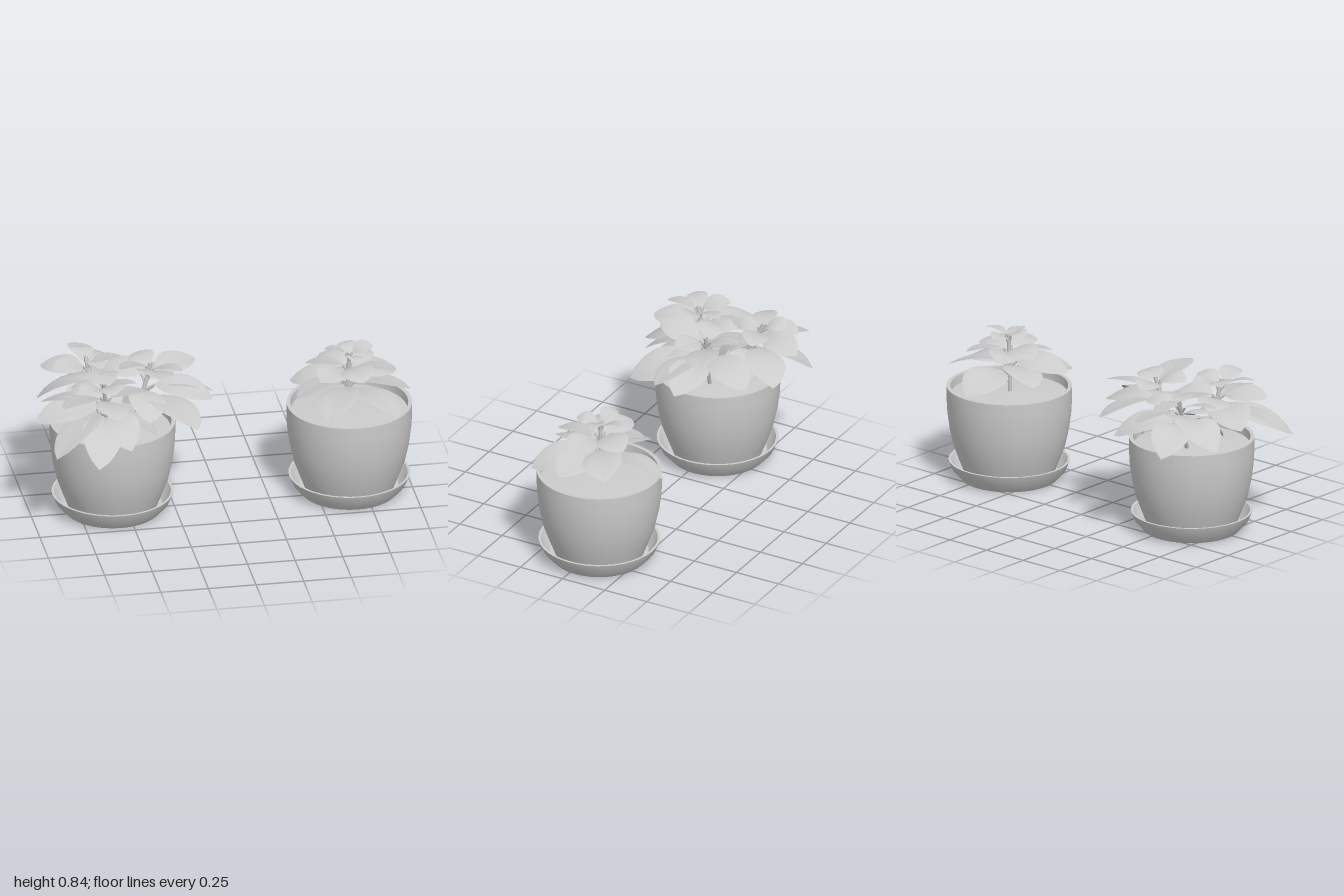
import * as THREE from 'three';
import { toCreasedNormals } from 'three/addons/utils/BufferGeometryUtils.js';

const material = new THREE.MeshStandardMaterial({ color: 0xcccccc });
const leafMaterial = new THREE.MeshStandardMaterial({ color: 0xcccccc, side: THREE.DoubleSide });
const V = (x, y, z) => new THREE.Vector3(x, y, z);

function add(parent, geometry, name, mat = material) {
  const mesh = new THREE.Mesh(geometry, mat);
  mesh.name = name;
  parent.add(mesh);
}

function lathe(parent, profile, name) {
  const g = new THREE.LatheGeometry(profile.map(([r, y]) => new THREE.Vector2(r, y)), 40);
  add(parent, toCreasedNormals(g, 0.6), name);
}

// Pot, saucer and soil, standing on y = 0
function makePot(x, z) {
  const pot = new THREE.Group();
  pot.name = 'potWithSaucer';
  pot.position.set(x, 0, z);
  lathe(pot, [[0, 0], [0.25, 0], [0.295, 0.05], [0.315, 0.1],
    [0.302, 0.1], [0.28, 0.055], [0.255, 0.025], [0, 0.025]], 'saucer');
  lathe(pot, [[0, 0.026], [0.232, 0.026], [0.26, 0.1], [0.289, 0.18], [0.309, 0.27],
    [0.321, 0.36], [0.325, 0.43], [0.325, 0.5], [0.305, 0.5], [0.298, 0.4]], 'pot');
  lathe(pot, [[0.304, 0.455], [0.2, 0.465], [0, 0.472]], 'soil');
  return pot;
}

// Arched, broad leaf blade with a short point, cupped along its midrib and rolled to one side
function leafGeometry(base, tip, width, arch, roll) {
  const rows = 10, cols = 4;
  const middle = base.clone().lerp(tip, 0.5);
  middle.y += arch;
  const spine = new THREE.QuadraticBezierCurve3(base, middle, tip);
  const side = V(tip.z - base.z, 0, base.x - tip.x).normalize().setY(roll).normalize();
  const positions = [], index = [];
  for (let i = 0; i <= rows; i++) {
    const t = i / rows;
    const p = spine.getPoint(t);
    const up = spine.getTangent(t).cross(side).normalize();
    const half = (width / 2) * Math.pow(Math.sin(Math.PI * Math.pow(t, 0.95)), 0.7);
    for (let j = 0; j <= cols; j++) {
      const s = (j / cols) * 2 - 1;
      const q = p.clone().addScaledVector(side, s * half)
        .addScaledVector(up, half * (0.3 * Math.abs(s) - 0.25 * s * s));
      positions.push(q.x, q.y, q.z);
      if (i < rows && j < cols) {
        const a = i * (cols + 1) + j, b = a + cols + 1;
        index.push(a, b, a + 1, b, b + 1, a + 1);
      }
    }
  }
  const g = new THREE.BufferGeometry();
  g.setAttribute('position', new THREE.Float32BufferAttribute(positions, 3));
  g.setIndex(index);
  g.computeVertexNormals();
  return g;
}

// One stem with whorls of leaves; the angles run from +x towards +z, in degrees
function makePlant(name, root, top, whorls) {
  const plant = new THREE.Group();
  plant.name = name;
  const bend = root.clone().lerp(top, 0.6).setY((root.y + top.y) / 2);
  const axis = new THREE.QuadraticBezierCurve3(root, bend, top);
  add(plant, new THREE.TubeGeometry(axis, 8, 0.011, 6), 'stem');
  const onAxis = (y) => axis.getPoint(Math.min(1, (y - root.y) / (top.y - root.y)));
  for (const { y, drop, reach, width, angles } of whorls) {
    angles.forEach((degrees, i) => {
      const a = THREE.MathUtils.degToRad(degrees);
      const sway = i % 2 ? 1 : -1;
      const level = y + 0.008 * sway;
      const tip = V(top.x + reach * Math.cos(a), level - drop, top.z + reach * Math.sin(a));
      const start = onAxis(level - 0.05);
      const base = onAxis(level).lerp(tip, 0.14).setY(level);
      const elbow = start.clone().lerp(base, 0.4).setY(start.y + 0.03);
      const stalk = new THREE.QuadraticBezierCurve3(start, elbow, base);
      add(plant, new THREE.TubeGeometry(stalk, 4, 0.006, 5), 'leafStalk');
      const arch = 0.035 + 0.4 * Math.max(0, drop);
      add(plant, leafGeometry(base, tip, width, arch, 0.2 * sway), 'leaf', leafMaterial);
    });
  }
  return plant;
}

export function createModel() {
  const model = new THREE.Group();
  model.name = 'pottedPlants';
  for (const x of [-0.568, 0.675]) model.add(makePot(x, -0.035));

  // Three plants share the first pot, leaning away from each other
  model.add(makePlant('frontPlant', V(-0.6, 0.46, 0.03), V(-0.64, 0.79, 0.12), [
    { y: 0.66, drop: 0.05, reach: 0.36, width: 0.21, angles: [177, 213] },
    { y: 0.61, drop: 0.13, reach: 0.37, width: 0.21, angles: [104, 141] },
    { y: 0.6, drop: 0.09, reach: 0.28, width: 0.2, angles: [16, 69] },
    { y: 0.7, drop: 0, reach: 0.25, width: 0.18, angles: [84, 158, 243, 290, 342] },
    { y: 0.77, drop: -0.02, reach: 0.17, width: 0.12, angles: [3, 80, 145, 231, 292] },
  ]));
  model.add(makePlant('backPlant', V(-0.61, 0.46, -0.12), V(-0.67, 0.77, -0.25), [
    { y: 0.66, drop: 0.08, reach: 0.34, width: 0.21, angles: [322] },
    { y: 0.64, drop: 0.1, reach: 0.26, width: 0.2, angles: [2, 60, 110, 182, 251] },
    { y: 0.7, drop: 0.02, reach: 0.26, width: 0.17, angles: [216, 290] },
    { y: 0.74, drop: -0.01, reach: 0.2, width: 0.14, angles: [156, 265, 350] },
    { y: 0.76, drop: 0, reach: 0.14, width: 0.12, angles: [63, 262] },
  ]));
  model.add(makePlant('sidePlant', V(-0.46, 0.46, -0.05), V(-0.36, 0.79, -0.08), [
    { y: 0.64, drop: 0.08, reach: 0.39, width: 0.26, angles: [61] },
    { y: 0.67, drop: 0.06, reach: 0.33, width: 0.2, angles: [0, 23, 101, 291] },
    { y: 0.77, drop: -0.06, reach: 0.27, width: 0.2, angles: [90] },
    { y: 0.73, drop: -0.01, reach: 0.27, width: 0.18, angles: [212, 337] },
    { y: 0.77, drop: -0.01, reach: 0.18, width: 0.14, angles: [32, 166, 253] },
  ]));

  // A single upright plant in the second pot
  model.add(makePlant('singlePlant', V(0.665, 0.46, -0.04), V(0.675, 0.78, -0.04), [
    { y: 0.6, drop: 0.06, reach: 0.36, width: 0.23, angles: [54, 116, 267] },
    { y: 0.63, drop: 0.04, reach: 0.32, width: 0.21, angles: [14, 157, 206, 327] },
    { y: 0.7, drop: 0, reach: 0.23, width: 0.17, angles: [16, 80, 140, 196, 239, 301] },
    { y: 0.77, drop: -0.02, reach: 0.13, width: 0.1, angles: [83, 190, 268, 350] },
  ]));
  return model;
}
